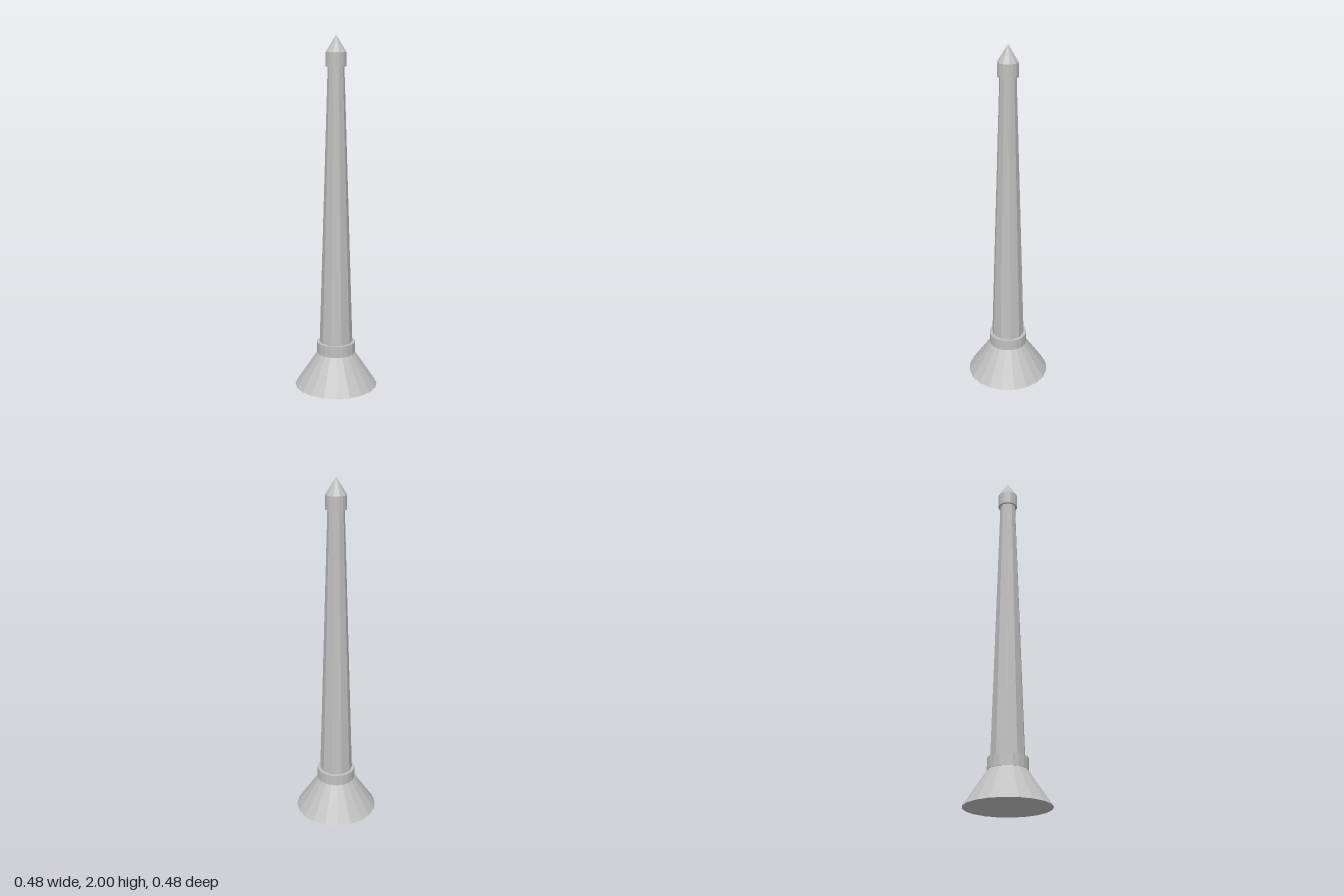
import * as THREE from 'three';

export function createModel() {
  const model = new THREE.Group();
  model.name = 'spire';
  const stone = new THREE.MeshStandardMaterial({ color: 0xc0c0c0, flatShading: true });
  stone.name = 'grey stone';

  // Adds a straight-sided section between two heights, with corners on the x axis
  function section(name, bottomRadius, topRadius, y0, y1, sides) {
    const geometry = new THREE.CylinderGeometry(topRadius, bottomRadius, y1 - y0, sides);
    geometry.rotateY(Math.PI / 2);
    geometry.translate(0, (y0 + y1) / 2, 0);
    const mesh = new THREE.Mesh(geometry, stone);
    mesh.name = name;
    model.add(mesh);
  }

  section('flaredBase', 0.238, 0.108, 0, 0.195, 20);
  section('lowerCollar', 0.111, 0.111, 0.195, 0.26, 20);
  section('taperedShaft', 0.095, 0.046, 0.26, 1.83, 10);
  section('upperCollar', 0.057, 0.057, 1.83, 1.908, 20);
  section('pointedTip', 0.057, 0, 1.908, 2, 10);

  return model;
}
